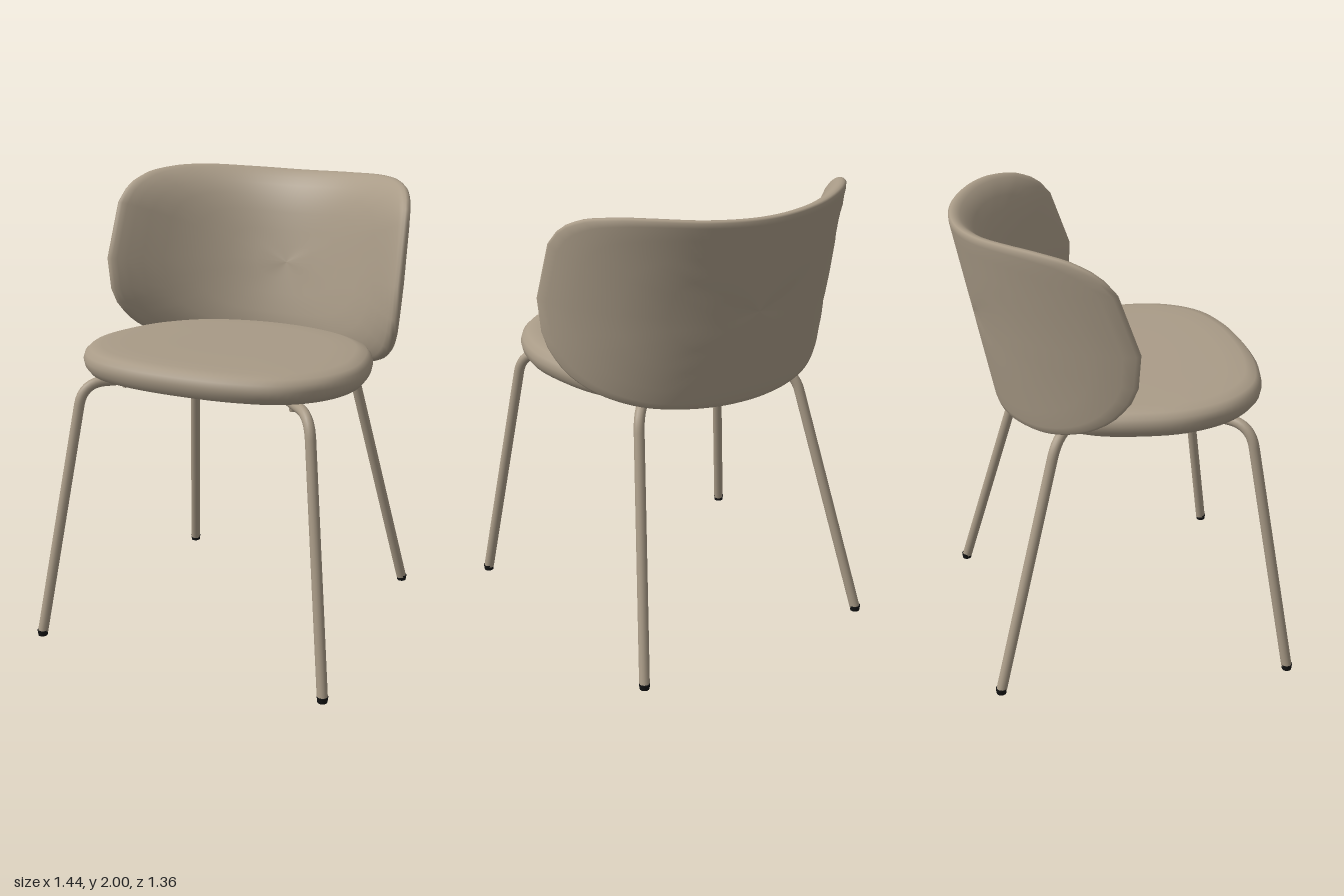
import * as THREE from 'three';

const fabric = new THREE.MeshStandardMaterial({ color: 0xa99b87 });
fabric.name = 'taupe';
const black = new THREE.MeshStandardMaterial({ color: 0x141414 });
black.name = 'black';

const SEGMENTS = 96;
const V = (x, y, z = 0) => new THREE.Vector3(x, y, z);

function mesh(name, geometry, material) {
  const m = new THREE.Mesh(geometry, material);
  m.name = name;
  return m;
}

// Closed smooth outline from one half, mirrored across x = 0
function outline(half) {
  const other = half.slice(1, -1).reverse().map(([x, y]) => [-x, y]);
  const points = [...half, ...other].map(([x, y]) => V(x, y));
  return new THREE.CatmullRomCurve3(points, true).getSpacedPoints(SEGMENTS).slice(0, SEGMENTS);
}

// Skin a list of closed rings with smooth normals
function loft(rings) {
  const n = SEGMENTS, index = [];
  for (let j = 0; j < rings.length - 1; j++) {
    for (let i = 0; i < n; i++) {
      const a = j * n + i, b = j * n + (i + 1) % n;
      index.push(a, b, b + n, a, b + n, a + n);
    }
  }
  const g = new THREE.BufferGeometry().setFromPoints(rings.flat());
  g.setIndex(index);
  g.computeVertexNormals();
  return g;
}

// Seat plan, front to back: [x, z]
const seatOutline = outline([
  [0, 0.635], [0.25, 0.615], [0.45, 0.545], [0.58, 0.4], [0.633, 0.2],
  [0.61, 0], [0.54, -0.2], [0.4, -0.36], [0.2, -0.45], [0, -0.475],
]);

// Seat rings: [scale, height, rise towards the front]
function seatLoft(rings) {
  const cz = 0.08;
  return loft(rings.map(([k, y, rise]) => seatOutline.map((p) => {
    const z = cz + (p.y - cz) * k;
    return V(p.x * k, y + rise * z, z);
  })));
}

// Backrest unrolled, bottom to top: [angle in degrees, height]
const backOutline = outline([
  [0, 1.14], [20, 1.148], [38, 1.175], [55, 1.25], [65, 1.34], [72, 1.46], [75, 1.6],
  [74, 1.76], [70, 1.89], [62, 1.965], [50, 1.996], [38, 2.0], [20, 1.988], [0, 1.98],
]);

// Backrest rings [scale, padding depth] wrapped onto a leaning cylinder
function backLoft(rings) {
  const R = 0.755, cy = 1.57;
  return loft(rings.map(([k, depth]) => backOutline.map((p) => {
    const a = THREE.MathUtils.degToRad(p.x * k);
    const y = cy + (p.y - cy) * k;
    const cz = 0.155 - (y - 1.6) * 0.21;
    return V((R - depth) * Math.sin(a), y, cz - (R - depth) * Math.cos(a));
  })));
}

// Polyline with rounded corners: points are [x, y, z, radius]
function roundedPath(points) {
  const path = new THREE.CurvePath();
  const P = points.map(([x, y, z]) => V(x, y, z));
  let last = P[0];
  for (let i = 1; i < P.length - 1; i++) {
    const r = points[i][3];
    const start = P[i].clone().add(P[i - 1].clone().sub(P[i]).setLength(r));
    const end = P[i].clone().add(P[i + 1].clone().sub(P[i]).setLength(r));
    path.add(new THREE.LineCurve3(last, start));
    path.add(new THREE.QuadraticBezierCurve3(start, P[i], end));
    last = end;
  }
  path.add(new THREE.LineCurve3(last, P[P.length - 1]));
  return path;
}

// One bent tube: front leg, inner run under the seat, rear leg
function sideFrame(s, side) {
  const group = new THREE.Group();
  group.name = side + 'LegFrame';
  const path = roundedPath([
    [s * 0.685, 0.02, 0.657], [s * 0.535, 1.165, 0.485, 0.1],
    [s * 0.21, 1.16, 0.16, 0.08], [s * 0.21, 1.148, -0.14, 0.08],
    [s * 0.405, 1.142, -0.315, 0.1], [s * 0.575, 0.02, -0.615],
  ]);
  group.add(mesh(side + 'LegTube', new THREE.TubeGeometry(path, 160, 0.023, 14), fabric));
  // Foot caps
  for (const [name, x, z] of [['FrontFoot', 0.686, 0.658], ['RearFoot', 0.576, -0.617]]) {
    const foot = mesh(side + name, new THREE.CylinderGeometry(0.0245, 0.021, 0.026, 16), black);
    foot.position.set(s * x, 0.013, z);
    group.add(foot);
  }
  // Screws holding the tube to the seat
  for (const [x, y, z] of [[0.4, 1.135, 0.35], [0.21, 1.13, 0.1], [0.28, 1.12, -0.2]]) {
    const screw = mesh(side + 'Screw', new THREE.CylinderGeometry(0.014, 0.012, 0.016, 12), fabric);
    screw.position.set(s * x, y, z);
    group.add(screw);
  }
  return group;
}

export function createModel() {
  const chair = new THREE.Group();
  chair.name = 'chair';

  // Upholstered seat
  chair.add(mesh('seatCushion', seatLoft([
    [0.92, 1.183, 0.04], [0.96, 1.19, 0.035], [0.99, 1.215, 0.035], [1, 1.245, 0.035],
    [0.988, 1.272, 0.035], [0.955, 1.293, 0.035], [0.88, 1.304, 0.035],
    [0.7, 1.307, 0.035], [0.35, 1.307, 0.035], [0, 1.307, 0.035],
  ]), fabric));

  // Dark underside
  chair.add(mesh('seatUnderside', seatLoft([
    [0, 1.165, 0.04], [0.5, 1.167, 0.04], [0.85, 1.175, 0.04], [0.92, 1.183, 0.04],
  ]), black));

  // Wrapped backrest: flat outside, rounded rim, padded inside
  chair.add(mesh('backrest', backLoft([
    [0, 0], [0.2, 0], [0.4, 0], [0.6, 0], [0.8, 0], [0.93, 0], [0.98, 0.003], [0.996, 0.012],
    [1, 0.024], [0.992, 0.038], [0.97, 0.052], [0.92, 0.072], [0.84, 0.094],
    [0.72, 0.112], [0.55, 0.12], [0.35, 0.122], [0.18, 0.122], [0, 0.122],
  ]), fabric));

  // Leg frames
  chair.add(sideFrame(1, 'left'), sideFrame(-1, 'right'));
  return chair;
}
